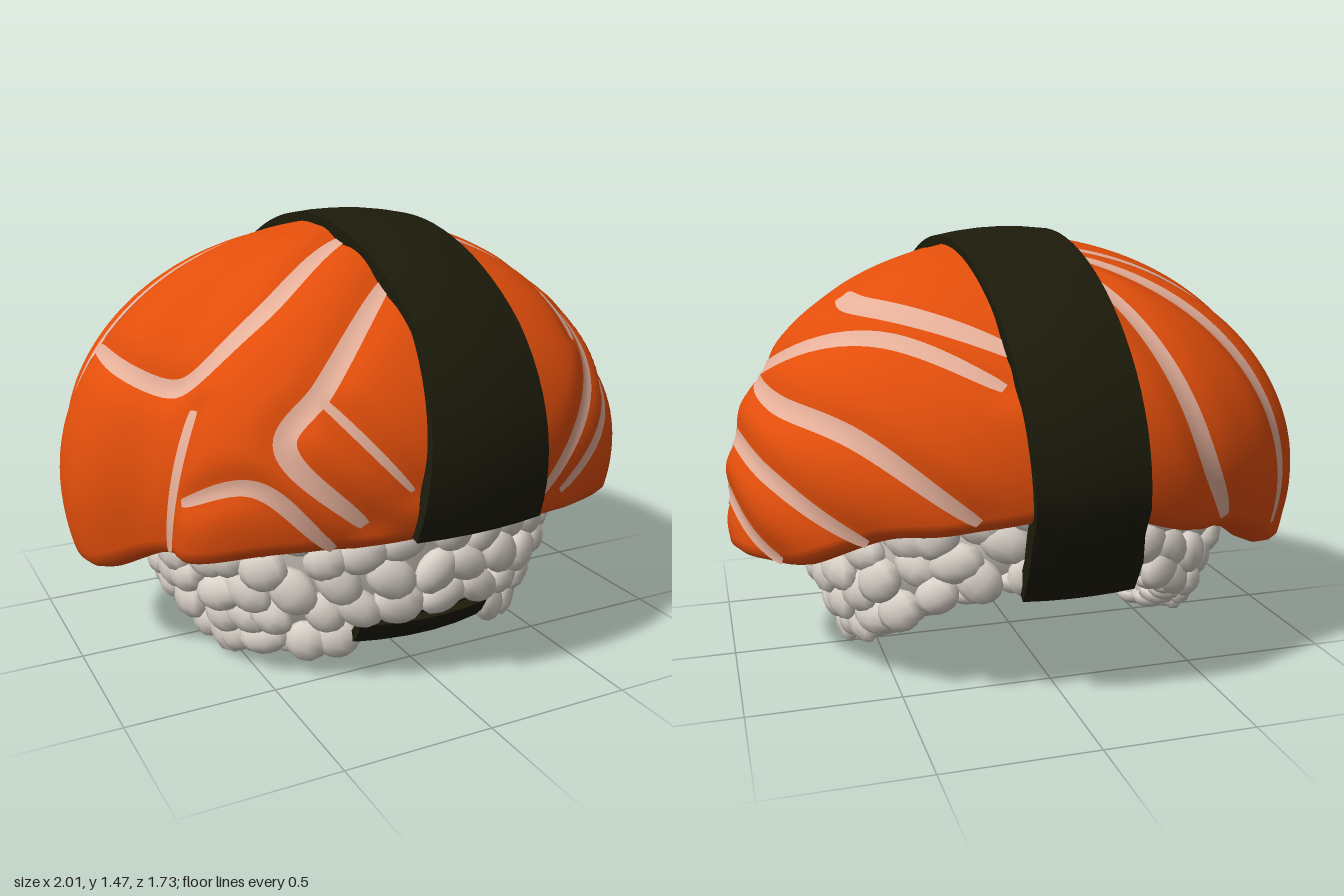
import * as THREE from 'three';
import { mergeGeometries, toCreasedNormals } from 'three/addons/utils/BufferGeometryUtils.js';

const V = (x, y, z) => new THREE.Vector3(x, y, z);
const material = (name, color) =>
  Object.assign(new THREE.MeshStandardMaterial({ color, side: THREE.DoubleSide }), { name });
const RAD = Math.PI / 180;
const A = 1, B = 0.87, C = 0.83, Y0 = 0.55; // half axes and centre height of the fish dome
// Front-to-back fullness of the dome at relative height u: full shoulders, tucked-in foot
const depth = u => C * (.96 + .38 * Math.max(u, -.1) - .3 * u * u);

// Surface through rows of points; closed joins the last column to the first
function loft(rows, closed) {
  const n = rows[0].length, pos = [], index = [];
  rows.forEach(r => r.forEach(p => pos.push(p.x, p.y, p.z)));
  for (let i = 0; i < rows.length - 1; i++) {
    for (let j = 0; j < (closed ? n : n - 1); j++) {
      const a = i * n + j, b = i * n + (j + 1) % n, c = a + n, d = b + n;
      index.push(a, b, c, b, d, c);
    }
  }
  const g = new THREE.BufferGeometry();
  g.setAttribute('position', new THREE.Float32BufferAttribute(pos, 3));
  g.setIndex(index);
  g.computeVertexNormals();
  return g;
}

// Plane coordinates to a direction on the unit sphere:
// top = x,z from above; front and back = x,y; side = z,y on the left
const rest = (a, b) => Math.sqrt(Math.max(0, 1 - a * a - b * b));
const up = y => (y - Y0) / B;
const top = (x, z) => V(x, rest(x, z / .87), z / .87).normalize();
const front = (x, y) => V(x, up(y), rest(x, up(y))).normalize();
const back = (x, y) => V(x, up(y), -rest(x, up(y))).normalize();
const side = (z, y) => V(rest(z / depth(up(y)), up(y)), up(y), z / depth(up(y))).normalize();

// Fat lines: half width, then the few points each curve runs through
const lines = [
  [.038, top(-.15, -.38), top(-.43, -.75), back(-.53, .56)],
  [.04, top(-.12, -.23), top(-.53, -.41), back(-.8, .45)],
  [.034, top(-.1, -.15), top(-.5, -.21), top(-.84, -.25), back(-.9, .4)],
  [.04, top(-.1, .2), top(-.5, .39), top(-.77, .31), top(-.82, -.22)],
  [.03, front(-.75, .95), front(-.86, .45)],
  [.03, front(-.82, .66), front(-.62, .74), front(-.4, .54)],
  [.038, front(-.08, 1.29), front(-.4, 1.02), front(-.53, .87), front(-.32, .62)],
  [.016, front(-.42, 1), front(-.18, .72)],
  [.044, top(.25, .09), top(.62, .22)],
  [.03, top(.61, .18), side(.52, 1.04)],
  [.03, front(.68, 1.1), front(.28, .58)],
  [.044, top(.17, -.64), top(.57, -.24), top(.6, -.06)],
  [.036, side(-.72, 1.03), side(-.47, 1.14), side(.03, 1), side(.45, .89), side(.74, .6)],
  [.036, side(.14, .95), side(-.3, .93), side(-.6, .87), side(-.78, .64)],
  [.034, side(.43, .54), side(0, .77), side(-.4, .72), side(-.63, .56)],
  [.034, side(.19, .46), side(-.08, .59), side(-.41, .46)],
].map(([width, ...pts]) => ({
  width, pts: new THREE.CatmullRomCurve3(pts).getPoints(44).map(p => p.normalize()),
}));

// Swellings of the outline: azimuth, amount, spread in degrees
const BUMPS = [[-35, .035, 22], [50, .03, 15], [212, .04, 20], [158, -.11, 14]];

// Point on the fish surface, sunk softly along the fat lines
function dome(u, off = 0) {
  let d2 = 9;
  for (const l of lines) for (const p of l.pts) d2 = Math.min(d2, p.distanceToSquared(u));
  let s = 1.004 + off - 0.024 * Math.exp(-d2 / 0.0045);
  const az = Math.atan2(u.z, u.x) / RAD;
  for (const [a, k, w] of BUMPS) {
    const d = ((az - a + 540) % 360 + 360) % 360 - 180;
    s += k * Math.exp(-d * d / (w * w)) * (1 - u.y * u.y);
  }
  return V(A * u.x * s, Y0 + B * u.y * s, depth(u.y) * u.z * s);
}

// Height of the fish's lower edge, every 30 degrees from +x towards +z
const RIM = [.39, .45, .51, .55, .52, .43, .31, .36, .52, .64, .58, .43];
function rimHeight(az) {
  const t = az / (30 * RAD), i = Math.floor(t), f = t - i, s = f * f * (3 - 2 * f);
  return RIM[i % 12] * (1 - s) + RIM[(i + 1) % 12] * s;
}

function salmonGeometry() {
  const N = 180, M = 58;
  // edge rolled under towards the rice: scale and lift
  const curl = [[.975, -.022], [.93, -.032], [.87, -.015], [.79, .035], [.7, .1]];
  const rows = Array.from({ length: M + 1 + curl.length }, () => []);
  for (let j = 0; j < N; j++) {
    const az = j / N * Math.PI * 2;
    const end = Math.acos((rimHeight(az) + .03 - Y0) / B);
    let p;
    for (let i = 0; i <= M; i++) {
      const a = end * i / M;
      p = dome(V(Math.sin(a) * Math.cos(az), Math.cos(a), Math.sin(a) * Math.sin(az)));
      rows[i].push(p);
    }
    curl.forEach(([s, dy], k) => rows[M + 1 + k].push(V(p.x * s, p.y + dy, p.z * s)));
  }
  return loft(rows, true);
}

function fatLineGeometry({ width, pts }) {
  const last = pts.length - 1;
  return loft(pts.map((u, i) => {
    const tangent = pts[Math.min(i + 1, last)].clone().sub(pts[Math.max(i - 1, 0)]);
    const across = tangent.cross(u).normalize();
    const w = width * (.45 + .55 * Math.sqrt(Math.abs(Math.sin(Math.PI * i / last))));
    return [-1, -.5, 0, .5, 1].map(k => dome(u.clone().addScaledVector(across, k * w).normalize(), .006));
  }), false);
}

// Seaweed strip along a path of [y, z, left x, right x], with thickness and closed ends
function stripGeometry(path, inner, outer, warp) {
  const us = [0, .2, .4, .6, .8, 1];
  const rows = path.map(([y, z, l, r], i) => {
    const p = path[Math.max(i - 1, 0)], q = path[Math.min(i + 1, path.length - 1)];
    const len = Math.hypot(q[0] - p[0], q[1] - p[1]);
    const ny = -(q[1] - p[1]) / len, nz = (q[0] - p[0]) / len;
    const at = (u, o) => warp(l + (r - l) * u, y + ny * o, z + nz * o);
    return [...us.map(u => at(u, outer)), ...us.map(u => at(1 - u, inner))];
  });
  const cap = r => {
    const m = V(0, 0, 0);
    r.forEach(p => m.addScaledVector(p, 1 / r.length));
    return r.map(() => m);
  };
  return toCreasedNormals(loft([cap(rows[0]), ...rows, cap(rows[rows.length - 1])], true), 0.7);
}

// Rice body: lower edge height and outer radius
const riceBottom = az => {
  const s = Math.sin(az);
  return .045 + (s > 0 ? .1 * s ** 4 : .35 * (-s) ** 1.6);
};
const riceRadius = y => .725 - .19 * Math.max(0, (.38 - y) / .38) ** 1.4;
const ring = (az, r, y) => V(Math.cos(az) * r, y, Math.sin(az) * r * .93);

// Grains laid in staggered rows, the first row lining the lower edge
function riceGrains() {
  let seed = 7;
  const rnd = k => { seed = (seed * 16807) % 2147483647; return (seed / 2147483647 * 2 - 1) * k; };
  const parts = [], base = new THREE.SphereGeometry(1, 9, 7);
  const N = 31;
  for (let row = -1; row < 6; row++) {
    for (let j = 0; j < N; j++) {
      const az = (j + (row & 1 ? .5 : 0) + rnd(.2)) / N * Math.PI * 2;
      const low = riceBottom(az), under = row < 0;
      const y = under ? low + .012 : low + .035 + row * .105 + rnd(.016);
      const r = riceRadius(y) - (under ? .065 : 0) + rnd(.012);
      const p = ring(az, r, y);
      // leave room for the tucked seaweed end
      if (y > .67 || (p.z > 0 && Math.abs(p.x + .015) < .26 && y < .24)) continue;
      const n = under ? V(0, -1, 0) : V(Math.cos(az), 0, Math.sin(az));
      const t = V(-Math.sin(az), 0, Math.cos(az)), b = n.clone().cross(t);
      const m = new THREE.Matrix4().makeBasis(t, b, n)
        .multiply(new THREE.Matrix4().makeRotationZ(rnd(.9)))
        .scale(V(.084 + rnd(.011), .066 + rnd(.008), .045))
        .setPosition(p);
      parts.push(base.clone().applyMatrix4(m));
    }
  }
  return mergeGeometries(parts);
}

// Smooth rice core: outside wall, lower edge and hollow inside
function riceCore() {
  const N = 64, rows = [[], [], [], [], [], []];
  for (let j = 0; j < N; j++) {
    const az = j / N * Math.PI * 2, low = riceBottom(az), r = riceRadius(low);
    const ys = [.68, (low + .68) / 2, low + .03, low + .02, low * .5 + .26, .52];
    const rs = [.7, riceRadius(ys[1]) - .02, r - .02, r - .11, Math.min(.61, r - .04), .61];
    ys.forEach((y, i) => rows[i].push(ring(az, rs[i], y)));
  }
  return loft(rows, true);
}

export function createModel() {
  const model = new THREE.Group();
  const orange = material('salmon orange', 0xe24e0b);
  const fat = material('pale fat', 0xe6b09a);
  const white = material('rice white', 0xdad2c9);
  const green = material('seaweed green', 0x1c1b0b);
  const add = (name, geometry, mat) => {
    const mesh = new THREE.Mesh(geometry, mat);
    mesh.name = name;
    model.add(mesh);
    return mesh;
  };

  add('salmon', salmonGeometry(), orange);
  add('fatLines', mergeGeometries(lines.map(fatLineGeometry)), fat);
  add('riceGrains', riceGrains(), white);
  add('riceCore', riceCore(), white);
  const ceiling = add('riceCeiling', new THREE.CircleGeometry(.63, 48), white);
  ceiling.rotation.x = Math.PI / 2;
  ceiling.scale.y = .93;
  ceiling.position.y = .5;

  // seaweed band: front edge, over the top, then down the back of the rice
  const band = [], mix = THREE.MathUtils.lerp;
  for (let i = 0; i <= 44; i++) {
    const t = i / 44, a = (1 + t * 171) * RAD;
    const left = t < .25 ? mix(-.17, -.1, t * 4) : mix(-.1, -.2, (t - .25) / .75);
    const right = t < .25 ? .29 : mix(.29, .16, (t - .25) / .75);
    band.push([Y0 + B * Math.sin(a), depth(Math.sin(a)) * Math.cos(a), left, right]);
  }
  band.push([.58, -.785, -.2, .16], [.48, -.755, -.21, .16], [.37, -.69, -.21, .16]);
  add('seaweedBand', stripGeometry(band, -.025, .033, (x, y, z) => {
    const k = Math.sqrt(1 - x * x);
    return V(x, Y0 + (y - Y0) * k, z * k);
  }), green);

  // seaweed end tucked under the front of the rice
  const tuck = [[.2, .45], [.135, .48], [.125, .54], [.135, .59], [.165, .62], [.215, .65]];
  add('seaweedTuck', stripGeometry(tuck.map(p => [...p, -.25, .22]), -.02, .012,
    (x, y, z) => V(x, y, z - .7 * x * x)), green);
  return model;
}
